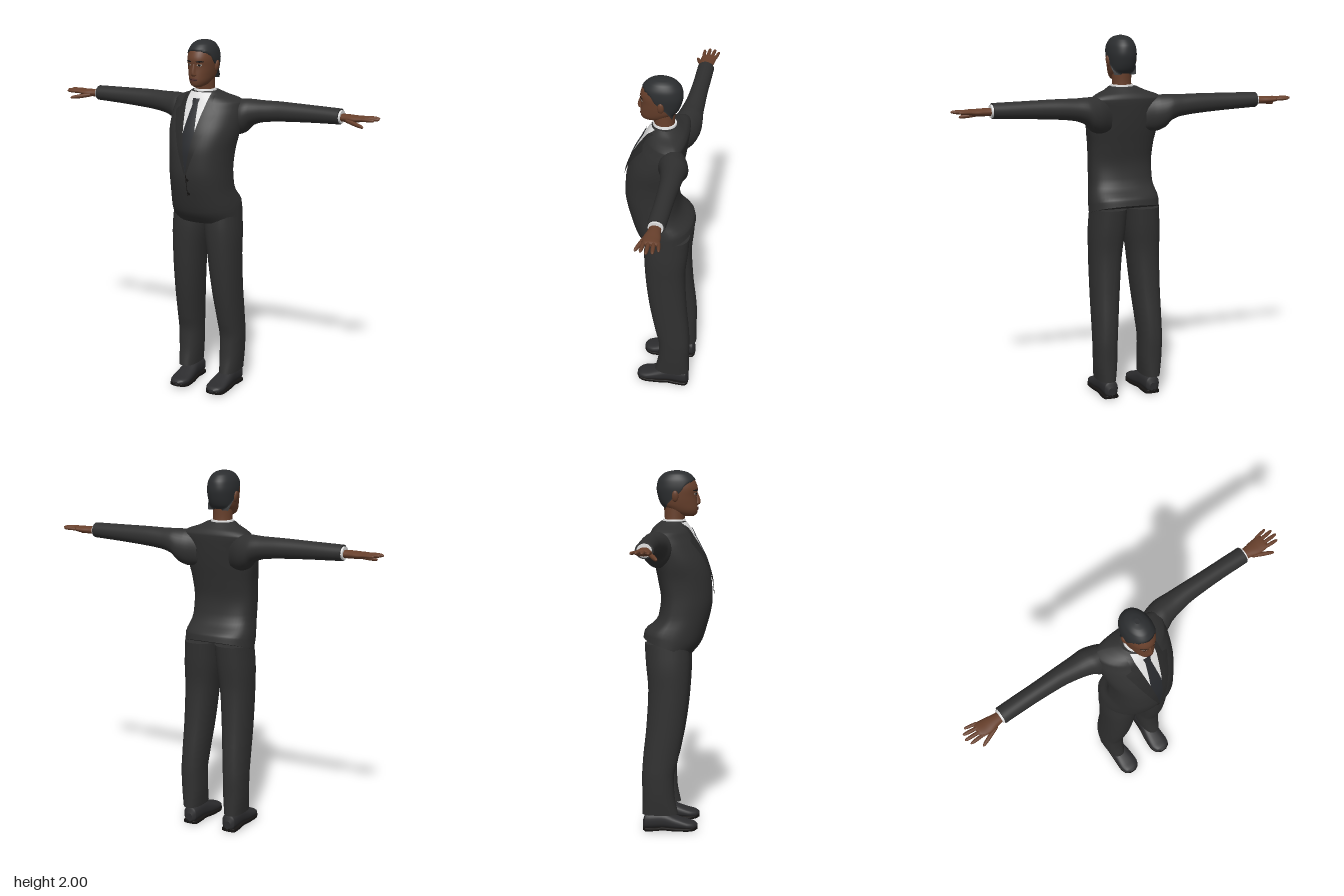
import * as THREE from 'three';

const material = (name, color) => {
  const m = new THREE.MeshStandardMaterial({ color });
  m.name = name;
  return m;
};

// Smooth interpolation of table rows; column 0 is the key (monotone cubic).
function sample(rows, t) {
  let i = 0;
  while (i < rows.length - 2 && t > rows[i + 1][0]) i++;
  const slope = (j, k) => (rows[j + 1][k] - rows[j][k]) / (rows[j + 1][0] - rows[j][0]);
  const tangent = (j, k) => {
    if (j === 0) return slope(0, k);
    if (j === rows.length - 1) return slope(j - 1, k);
    const a = slope(j - 1, k), b = slope(j, k);
    return a * b <= 0 ? 0 : (2 * a * b) / (a + b);
  };
  const h = rows[i + 1][0] - rows[i][0];
  const u = Math.min(1, Math.max(0, (t - rows[i][0]) / h)), u2 = u * u, u3 = u2 * u;
  return rows[i].map((p, k) => k === 0 ? t :
    (2 * u3 - 3 * u2 + 1) * p + (u3 - 2 * u2 + u) * h * tangent(i, k) +
    (3 * u2 - 2 * u3) * rows[i + 1][k] + (u3 - u2) * h * tangent(i + 1, k));
}

function geometry(pos, idx) {
  const g = new THREE.BufferGeometry();
  g.setAttribute('position', new THREE.Float32BufferAttribute(pos, 3));
  g.setIndex(idx);
  g.computeVertexNormals();
  return g;
}

// Closed skin over the rings that section(row, cos, sin) gives, with capped ends.
function loft(rows, section, seg = 32, sub = 4) {
  const keys = [];
  for (let i = 0; i < rows.length - 1; i++)
    for (let j = 0; j < sub; j++) keys.push(rows[i][0] + (rows[i + 1][0] - rows[i][0]) * j / sub);
  keys.push(rows[rows.length - 1][0]);
  const rings = keys.map(k => {
    const row = sample(rows, k);
    return Array.from({ length: seg }, (_, j) => {
      const a = j / seg * Math.PI * 2;
      return section(row, Math.cos(a), Math.sin(a));
    });
  });
  const pos = rings.flat(2), idx = [];
  for (let i = 0; i < rings.length - 1; i++)
    for (let j = 0; j < seg; j++) {
      const a = i * seg + j, b = i * seg + (j + 1) % seg;
      idx.push(a, a + seg, b, b, a + seg, b + seg);
    }
  [rings[0], rings[rings.length - 1]].forEach((ring, end) => {
    const base = pos.length / 3;
    pos.push(...ring.flat(), ...[0, 1, 2].map(k => ring.reduce((s, p) => s + p[k], 0) / seg));
    for (let j = 0; j < seg; j++) {
      const a = base + j, b = base + (j + 1) % seg;
      if (end) idx.push(base + seg, b, a); else idx.push(base + seg, a, b);
    }
  });
  // Turn the faces outward whatever the direction of the rows.
  const v = i => new THREE.Vector3().fromArray(pos, i * 3);
  let volume = 0;
  for (let i = 0; i < idx.length; i += 3) volume += v(idx[i]).dot(v(idx[i + 1]).cross(v(idx[i + 2])));
  if (volume < 0) idx.reverse();
  return geometry(pos, idx);
}

const power = (c, n) => Math.sign(c) * Math.pow(Math.abs(c), 2 / n);
// Row: y, half width, front z, back z, widest z, squareness, centre x
const upright = ([y, w, zf, zb, zc, n, cx], c, s) =>
  [cx + w * power(c, n), y, zc + (s > 0 ? zf - zc : zc - zb) * power(s, n)];
// Row: x, centre y, half height, centre z, half depth
const sideways = side => ([x, y, ry, z, rz], c, s) => [side * x, y + ry * s, z + rz * c];

// Thin sheet lying on the front of an upright loft between two x edges.
function patch(rows, y0, y1, edges, lift, ny = 20, nx = 8) {
  const pos = [], idx = [];
  for (let i = 0; i <= ny; i++) {
    const y = y0 + (y1 - y0) * i / ny;
    const [l, r] = edges(y).sort((a, b) => a - b);
    const [, w, zf, , zc, n] = sample(rows, y);
    for (let j = 0; j <= nx; j++) {
      const x = l + (r - l) * j / nx;
      const q = Math.max(0, 1 - Math.pow(Math.min(1, Math.abs(x / w)), n));
      pos.push(x, y, zc + (zf - zc) * Math.pow(q, 1 / n) + lift);
      if (i < ny && j < nx) {
        const a = i * (nx + 1) + j, b = a + nx + 1;
        idx.push(a, a + 1, b, a + 1, b + 1, b);
      }
    }
  }
  return geometry(pos, idx);
}
const oval = (cx, cy, rx, ry) => y => {
  const w = rx * Math.sqrt(Math.max(0, 1 - ((y - cy) / ry) ** 2));
  return [cx - w, cx + w];
};

const TORSO = [
  [1.04, 0.198, 0.085, -0.188, -0.05, 2.3, 0], [1.1, 0.195, 0.14, -0.18, -0.05, 2.3, 0],
  [1.2, 0.178, 0.18, -0.105, -0.01, 2.3, 0], [1.3, 0.176, 0.196, -0.09, 0, 2.3, 0],
  [1.4, 0.182, 0.19, -0.105, -0.01, 2.3, 0], [1.5, 0.2, 0.165, -0.125, -0.03, 2.2, 0],
  [1.6, 0.21, 0.12, -0.14, -0.07, 2, 0], [1.66, 0.205, 0.085, -0.145, -0.1, 2, 0],
  [1.685, 0.17, 0.072, -0.135, -0.09, 2, 0], [1.705, 0.115, 0.06, -0.115, -0.06, 2, 0],
  [1.725, 0.078, 0.045, -0.09, -0.03, 2, 0]];
const LEG = [
  [0.095, 0.052, 0.012, -0.19, -0.09, 2.4, 0.133], [0.2, 0.061, -0.008, -0.188, -0.1, 2.4, 0.134],
  [0.3, 0.064, -0.012, -0.19, -0.1, 2.4, 0.135], [0.4, 0.068, 0.01, -0.185, -0.09, 2.3, 0.131],
  [0.6, 0.078, 0.048, -0.165, -0.06, 2.3, 0.121], [0.8, 0.088, 0.07, -0.155, -0.045, 2.3, 0.112],
  [0.95, 0.098, 0.077, -0.168, -0.045, 2.3, 0.102], [1.06, 0.098, 0.07, -0.175, -0.05, 2.3, 0.095]];
const HEAD = [
  [1.752, 0.02, 0.09, 0.03, 0.06, 2, 0], [1.765, 0.042, 0.107, -0.02, 0.04, 2, 0],
  [1.79, 0.057, 0.112, -0.06, 0.02, 2.1, 0], [1.82, 0.066, 0.11, -0.085, 0, 2.2, 0],
  [1.86, 0.072, 0.107, -0.1, 0, 2.2, 0], [1.9, 0.075, 0.112, -0.107, 0, 2.2, 0],
  [1.94, 0.071, 0.1, -0.102, 0, 2.1, 0], [1.97, 0.055, 0.073, -0.078, 0, 2, 0],
  [1.987, 0.033, 0.042, -0.048, 0, 2, 0], [1.994, 0.008, 0.008, -0.012, 0, 2, 0]];
const HAIRLINE = [[1.77, -0.075], [1.82, -0.05], [1.86, -0.01], [1.89, 0.025], [1.915, 0.04],
  [1.935, 0.07], [1.955, 0.12], [2, 0.13]];
const ARM = [[0.1, 1.57, 0.08, -0.09, 0.04], [0.17, 1.578, 0.098, -0.095, 0.075],
  [0.21, 1.587, 0.092, -0.1, 0.08], [0.25, 1.607, 0.072, -0.108, 0.072], [0.31, 1.617, 0.06, -0.112, 0.062],
  [0.42, 1.624, 0.054, -0.117, 0.052], [0.6, 1.628, 0.047, -0.117, 0.047], [0.765, 1.63, 0.042, -0.115, 0.047]];
const PALM = [[0.75, 1.626, 0.02, -0.115, 0.028], [0.8, 1.626, 0.021, -0.113, 0.033],
  [0.85, 1.626, 0.019, -0.112, 0.043], [0.895, 1.63, 0.014, -0.115, 0.044], [0.91, 1.631, 0.007, -0.116, 0.036]];
// Finger: base xyz, tip xyz, radius
const FINGERS = [[0.885, 1.63, -0.152, 0.955, 1.632, -0.164, 0.009], [0.89, 1.632, -0.129, 0.978, 1.634, -0.138, 0.0105],
  [0.89, 1.632, -0.105, 0.985, 1.633, -0.108, 0.0105], [0.885, 1.63, -0.082, 0.97, 1.63, -0.078, 0.01],
  [0.81, 1.617, -0.085, 0.925, 1.597, -0.042, 0.012]];
// Shoe: z, half width, top y, bottom y, centre x
const SHOE = [[-0.185, 0.02, 0.06, 0.012, 0.125], [-0.17, 0.04, 0.095, 0.008, 0.125], [-0.08, 0.045, 0.105, 0.012, 0.122],
  [0, 0.053, 0.078, 0.008, 0.118], [0.06, 0.056, 0.057, 0.008, 0.117], [0.1, 0.044, 0.047, 0.01, 0.118], [0.12, 0.016, 0.034, 0.016, 0.118]];
const LAPEL = [[1.29, 0, 0.006], [1.45, 0.024, 0.062], [1.58, 0.046, 0.112], [1.625, 0.054, 0.128],
  [1.64, 0.057, 0.098], [1.705, 0.068, 0.09]];

export function createModel() {
  const model = new THREE.Group();
  const suit = material('suit cloth', 0x303030), trim = material('lapel cloth', 0x292929);
  const skin = material('skin', 0x68402c), lips = material('lips', 0x55302a);
  const hairMat = material('hair', 0x2b2d2f), shirt = material('shirt', 0xdedede);
  const tieMat = material('tie', 0x27292d), shoeMat = material('shoe leather', 0x2c2c2e);
  const dark = material('dark detail', 0x161413), white = material('eye white', 0xa09890);
  const add = (name, geo, mat) => {
    const mesh = new THREE.Mesh(geo, mat);
    mesh.name = name;
    model.add(mesh);
    return mesh;
  };

  // Jacket, with the hem dipping toward the front
  add('jacket', loft(TORSO, (row, c, s) => {
    const p = upright(row, c, s);
    p[1] -= Math.max(0, (1.16 - p[1]) / 0.12) * (p[2] + 0.05) * 0.33;
    return p;
  }, 48), suit);
  add('shirtFront', patch(TORSO, 1.42, 1.72, y => { const w = Math.min(0.064, (y - 1.3) * 0.19); return [-w, w]; }, 0.003), shirt);
  add('tie', patch(TORSO, 1.3, 1.66, y => { const w = Math.min((y - 1.29) * 0.17, 0.037 - Math.max(0, y - 1.5) * 0.13); return [-w, w]; }, 0.007), tieMat);
  add('tieKnot', patch(TORSO, 1.645, 1.69, y => { const w = 0.013 + (y - 1.645) * 0.2; return [-w, w]; }, 0.011), tieMat);
  add('jacketSeam', patch(TORSO, 1.165, 1.29, () => [-0.002, 0.002], 0.003), dark);
  for (const y of [1.18, 1.26]) add('button', patch(TORSO, y - 0.009, y + 0.009, oval(0.008, y, 0.009, 0.009), 0.005), dark);

  // Neck, collar and head
  add('neck', loft([[1.66, 0.055, 0.03, -0.075, -0.02, 2, 0], [1.74, 0.052, 0.04, -0.07, -0.015, 2, 0],
    [1.81, 0.053, 0.06, -0.075, -0.01, 2, 0]], upright), skin);
  add('shirtCollar', loft([[1.69, 0.072, 0.058, -0.086, -0.02, 2, 0], [1.735, 0.06, 0.043, -0.08, -0.02, 2, 0]], upright), shirt);
  add('head', loft(HEAD, upright, 40), skin);
  const shell = HEAD.slice(2).map(([y, w, zf, zb, zc, n, cx]) => [y + (y > 1.95 ? 0.006 : 0), w + 0.005, zf + 0.005, zb - 0.007, zc, n, cx]);
  add('hair', loft(shell, (row, c, s) => {
    const p = upright(row, c, s);
    p[2] = Math.min(p[2], sample(HAIRLINE, p[1])[1]);
    return p;
  }, 64), hairMat);
  add('nose', loft([[1.812, 0.01, 0.112, 0.09, 0.1, 2, 0], [1.82, 0.017, 0.124, 0.09, 0.1, 2, 0],
    [1.832, 0.013, 0.127, 0.09, 0.1, 2, 0], [1.88, 0.007, 0.112, 0.09, 0.1, 2, 0]], upright, 16), skin);
  add('mouth', patch(HEAD, 1.786, 1.803, oval(0, 1.7945, 0.024, 0.0085), 0.003), lips);
  add('mouthLine', patch(HEAD, 1.7935, 1.7955, () => [-0.021, 0.021], 0.005, 2), dark);

  for (const side of [1, -1]) {
    const tag = side > 0 ? 'left' : 'right';
    // Face details
    add(tag + 'Eye', patch(HEAD, 1.868, 1.88, oval(side * 0.031, 1.874, 0.013, 0.006), 0.002), white);
    add(tag + 'Iris', patch(HEAD, 1.868, 1.88, oval(side * 0.031, 1.874, 0.006, 0.006), 0.004), dark);
    add(tag + 'Brow', patch(HEAD, 1.888, 1.897, oval(side * 0.033, 1.8925, 0.019, 0.0045), 0.003), dark);
    const ear = add(tag + 'Ear', new THREE.SphereGeometry(1, 16, 12), skin);
    ear.scale.set(0.01, 0.031, 0.018);
    ear.position.set(side * 0.078, 1.862, -0.008);
    ear.rotation.z = -side * 0.15;

    // Lapel, sleeve and cuff
    add(tag + 'Lapel', patch(TORSO, 1.29, 1.705, y => { const [, a, b] = sample(LAPEL, y); return [side * a, side * b]; }, 0.01, 40), trim);
    add(tag + 'Sleeve', loft(ARM, sideways(side)), suit);
    add(tag + 'Cuff', loft([[0.75, 1.629, 0.036, -0.115, 0.04], [0.775, 1.629, 0.034, -0.115, 0.038]], sideways(side)), shirt);

    // Hand
    add(tag + 'Palm', loft(PALM, sideways(side), 20), skin);
    FINGERS.forEach(([x0, y0, z0, x1, y1, z1, r], i) => {
      const rows = [[0, 0.9], [0.5, 1], [0.85, 0.8], [0.96, 0.5], [1, 0.1]].map(([t, k]) =>
        [x0 + (x1 - x0) * t, y0 + (y1 - y0) * t, r * k, z0 + (z1 - z0) * t, r * k]);
      add(tag + (i === 4 ? 'Thumb' : 'Finger' + (i + 1)), loft(rows, sideways(side), 12, 2), skin);
    });

    // Trouser leg and shoe
    add(tag + 'TrouserLeg', loft(LEG, (row, c, s) => { const p = upright(row, c, s); return [side * p[0], p[1], p[2]]; }), suit);
    add(tag + 'Shoe', loft(SHOE, ([z, w, top, low, cx], c, s) =>
      [side * (cx + w * power(c, 2.5)), (top + low) / 2 + (top - low) / 2 * power(s, 2.5), z], 28), shoeMat);
    add(tag + 'Sole', loft(SHOE, ([z, w, , low, cx], c, s) =>
      [side * (cx + (w + 0.003) * power(c, 6)), low + 0.002 + power(s, 6) * 0.01 - (z < -0.085 ? 0.004 : 0), z], 28), dark);
  }
  return model;
}
